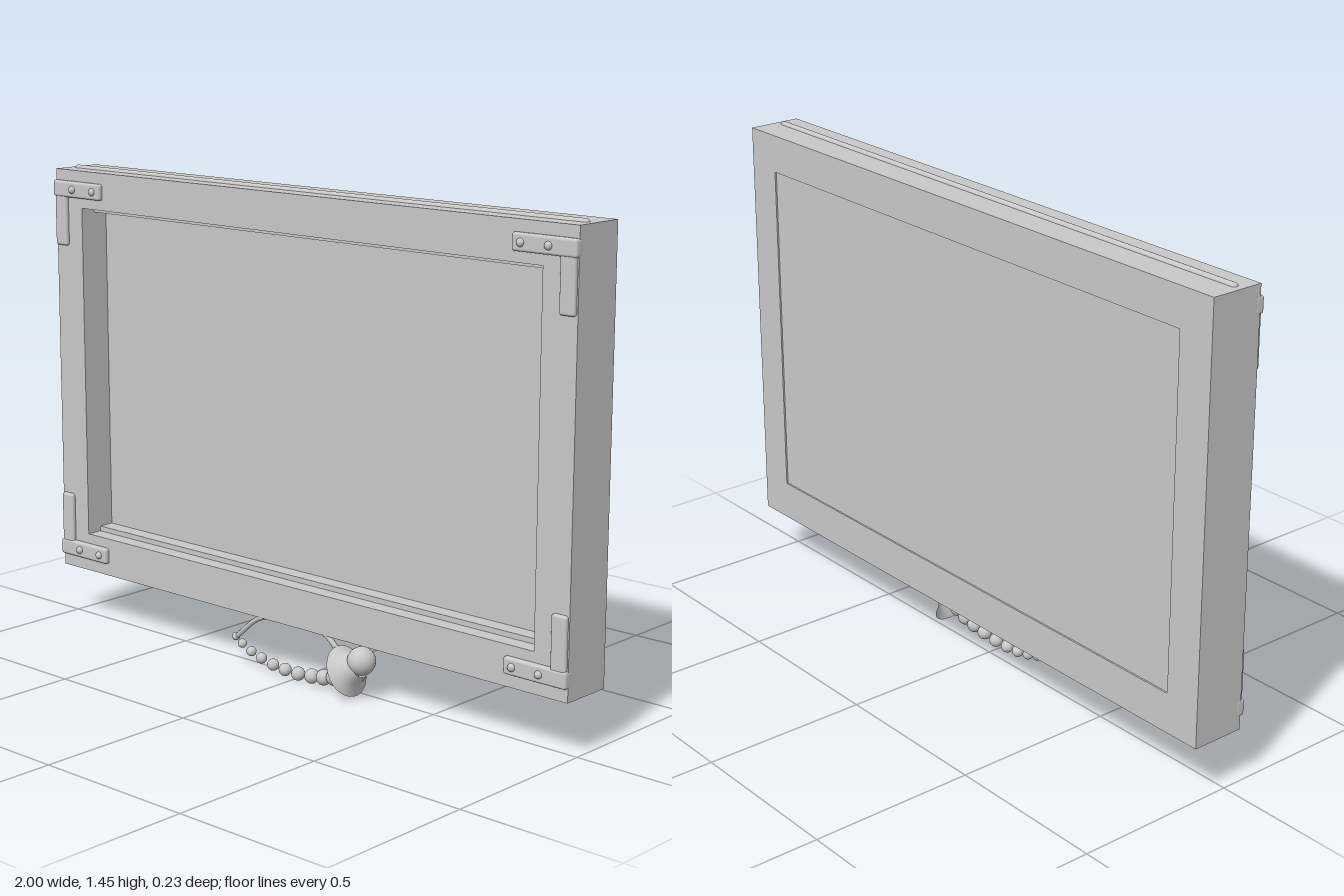
import * as THREE from 'three';
import { RoundedBoxGeometry } from 'three/addons/geometries/RoundedBoxGeometry.js';

export function createModel() {
  const root = new THREE.Group();
  const grey = new THREE.MeshStandardMaterial({ color: 0xc8c8c8, side: THREE.DoubleSide });
  grey.name = 'grey';

  function add(name, geometry, x = 0, y = 0, z = 0, parent = root) {
    const mesh = new THREE.Mesh(geometry, grey);
    mesh.name = name;
    mesh.position.set(x, y, z);
    parent.add(mesh);
    return mesh;
  }

  // Rectangle outline shared by the frame and its opening
  function rect(path, x, y0, y1) {
    path.moveTo(-x, y0);
    path.lineTo(x, y0);
    path.lineTo(x, y1);
    path.lineTo(-x, y1);
    path.closePath();
    return path;
  }

  // Deep frame with a rectangular opening
  const outline = rect(new THREE.Shape(), 1, 0.17, 1.445);
  outline.holes.push(rect(new THREE.Path(), 0.885, 0.29, 1.33));
  add('frame', new THREE.ExtrudeGeometry(outline, { depth: 0.165, bevelEnabled: false }), 0, 0, -0.115);

  // Back panel, set just inside the rear face
  add('backPanel', new THREE.BoxGeometry(1.77, 1.04, 0.06), 0, 0.81, -0.08);

  // Thin ledges along the top and bottom of the recess
  for (const [name, y] of [['upperLedge', 1.322], ['lowerLedge', 0.298]]) {
    add(name, new THREE.BoxGeometry(1.77, 0.016, 0.05), 0, y, -0.025);
  }

  // Half-sunk rods along the top and bottom of the frame
  for (const [name, y] of [['topRod', 1.443], ['bottomRod', 0.172]]) {
    add(name, new THREE.CapsuleGeometry(0.011, 1.94, 6, 16), 0, y, -0.016).rotation.z = Math.PI / 2;
  }

  // Riveted corner brackets, mirrored to all four corners
  for (const sx of [-1, 1]) {
    for (const sy of [-1, 1]) {
      const bracket = new THREE.Group();
      bracket.name = (sy > 0 ? 'upper' : 'lower') + (sx > 0 ? 'Left' : 'Right') + 'Bracket';
      bracket.position.set(0, 0.81, 0.05);
      root.add(bracket);
      add('bracketArm', new RoundedBoxGeometry(0.21, 0.05, 0.03, 3, 0.008), sx * 0.896, sy * 0.576, 0, bracket);
      add('bracketLeg', new RoundedBoxGeometry(0.05, 0.2, 0.025, 3, 0.008), sx * 0.971, sy * 0.499, 0, bracket);
      for (const x of [0.912, 0.822]) {
        add('rivet', new THREE.SphereGeometry(0.012, 16, 10), sx * x, sy * 0.576, 0.014, bracket);
      }
    }
  }

  // Hanging ornament below the frame
  const ornament = new THREE.Group();
  ornament.name = 'ornament';
  ornament.position.z = 0.04;
  root.add(ornament);

  // Cord rising into the frame and down again
  const cord = new THREE.CatmullRomCurve3([
    [-0.24, 0.085], [-0.135, 0.167], [0, 0.19], [0.13, 0.167], [0.2, 0.1],
  ].map(([x, y]) => new THREE.Vector3(x, y, 0)));
  add('cord', new THREE.TubeGeometry(cord, 40, 0.008, 8), 0, 0, 0, ornament);

  // Chain of beads growing towards the bell
  const beads = [
    [-0.24, 0.087], [-0.214, 0.07], [-0.176, 0.053], [-0.134, 0.041], [-0.086, 0.031], [-0.037, 0.027],
    [0.016, 0.026], [0.07, 0.031], [0.118, 0.038], [0.16, 0.048], [0.198, 0.064], [0.225, 0.084],
  ];
  beads.forEach(([x, y], i) => {
    add('bead', new THREE.SphereGeometry(0.0125 + 0.0014 * i, 20, 14), x, y, 0, ornament);
  });

  // Flared bell opening towards the chain, with a round knob behind it
  const profile = [[0.077, 0], [0.06, 0.013], [0.048, 0.028], [0.041, 0.045], [0.036, 0.06]]
    .map(([r, h]) => new THREE.Vector2(r, h));
  add('bell', new THREE.LatheGeometry(profile, 36), 0.207, 0.078, 0, ornament).rotation.z = -1.08;
  add('knob', new THREE.SphereGeometry(0.042, 28, 20), 0.264, 0.121, 0, ornament);

  return root;
}
